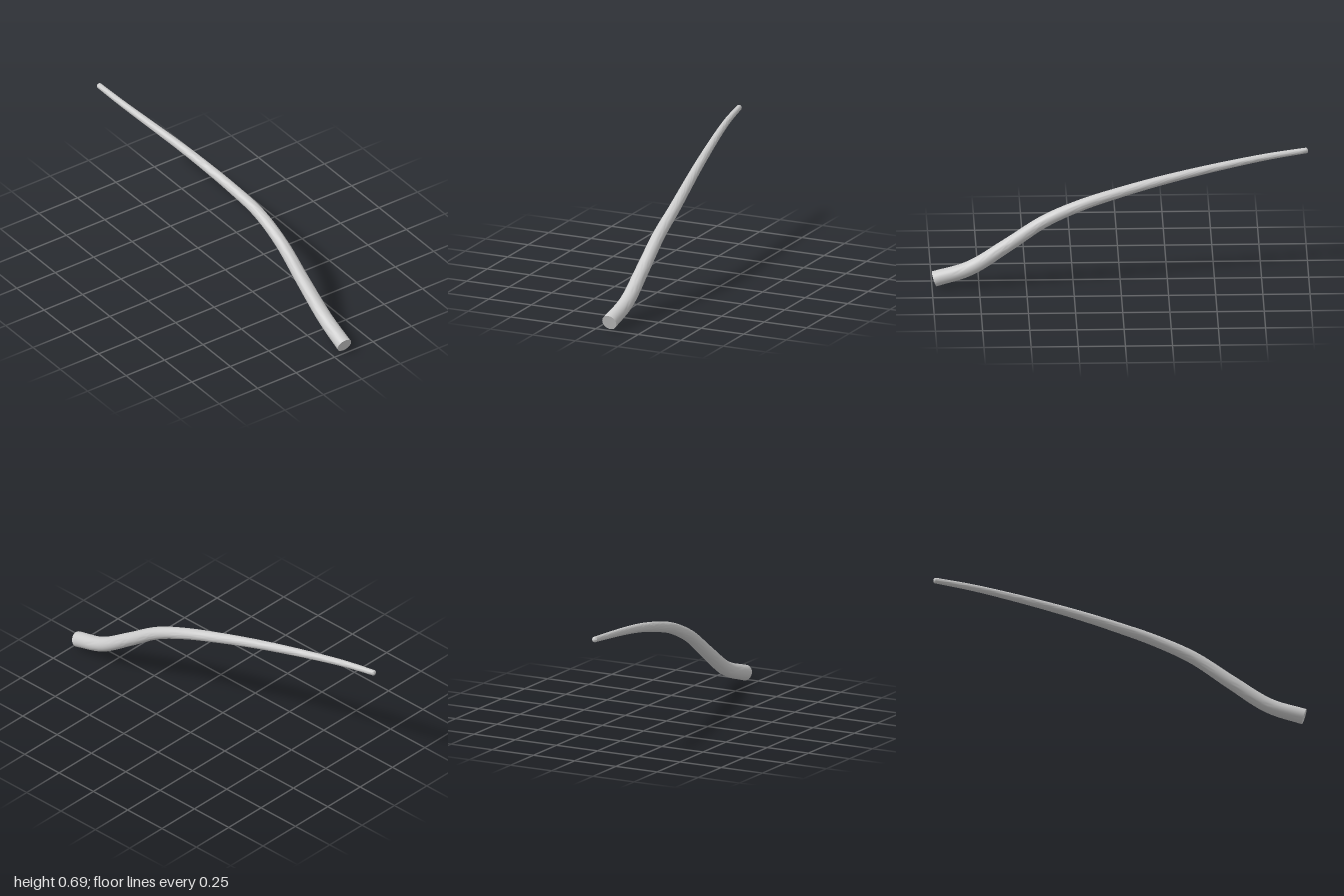
import * as THREE from 'three';
import { toCreasedNormals } from 'three/addons/utils/BufferGeometryUtils.js';

// Centre line from the thick, flat-cut base to the thin, rounded tip
const path = new THREE.CatmullRomCurve3([
  [0.073, 0.045, 0.987], [0.083, 0.107, 0.8], [0.082, 0.235, 0.6],
  [0.081, 0.37, 0.4], [0.073, 0.458, 0.2], [0.044, 0.514, 0],
  [0.01, 0.56, -0.2], [-0.025, 0.598, -0.4], [-0.061, 0.63, -0.6],
  [-0.094, 0.658, -0.8], [-0.117, 0.681, -1],
].map((p) => new THREE.Vector3(...p)));
path.arcLengthDivisions = 800;

const BASE_RADIUS = 0.042;
const TIP_RADIUS = 0.015;
const TIP_LENGTH = 0.005; // rounded share of the length

// Lathe profile: x is the radius, y is the position along the path (0 to 1)
function taperProfile() {
  const points = [new THREE.Vector2(0, 0)];
  const rings = 64;
  for (let i = 0; i <= rings; i++) {
    const t = (i / rings) * (1 - TIP_LENGTH);
    points.push(new THREE.Vector2(THREE.MathUtils.lerp(BASE_RADIUS, TIP_RADIUS, t), t));
  }
  for (let i = 1; i <= 5; i++) {
    const a = (i / 5) * Math.PI / 2;
    points.push(new THREE.Vector2(
      i === 5 ? 0 : TIP_RADIUS * Math.cos(a),
      1 - TIP_LENGTH + TIP_LENGTH * Math.sin(a),
    ));
  }
  return points;
}

// Bend a straight lathe (axis y from 0 to 1) along the path
function bendAlong(geometry, curve) {
  const up = new THREE.Vector3(0, 1, 0);
  const side = new THREE.Vector3();
  const over = new THREE.Vector3();
  const pos = geometry.attributes.position;
  for (let i = 0; i < pos.count; i++) {
    const t = THREE.MathUtils.clamp(pos.getY(i), 0, 1);
    const tangent = curve.getTangentAt(t);
    side.crossVectors(tangent, up).normalize();
    over.crossVectors(side, tangent);
    const p = curve.getPointAt(t)
      .addScaledVector(side, pos.getX(i))
      .addScaledVector(over, pos.getZ(i));
    pos.setXYZ(i, p.x, p.y, p.z);
  }
  return geometry;
}

export function createModel() {
  const group = new THREE.Group();
  group.name = 'curvedStick';
  const geometry = bendAlong(new THREE.LatheGeometry(taperProfile(), 28), path);
  const stick = new THREE.Mesh(
    toCreasedNormals(geometry, Math.PI / 4),
    new THREE.MeshStandardMaterial({ color: 0xcccccc }),
  );
  stick.name = 'taperedStem';
  group.add(stick);
  return group;
}
